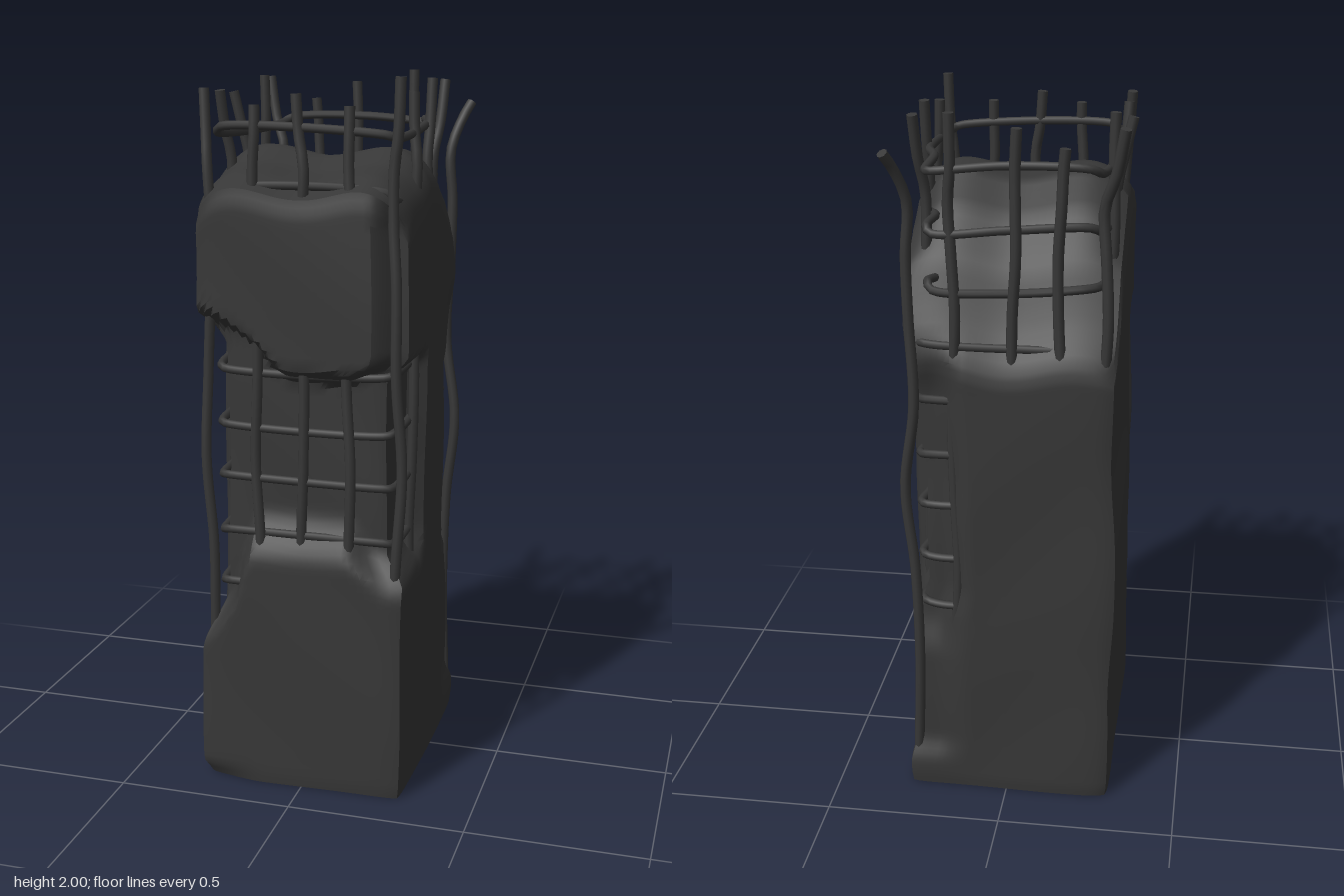
import * as THREE from 'three';
import { mergeVertices, toCreasedNormals } from 'three/addons/utils/BufferGeometryUtils.js';

const material = new THREE.MeshStandardMaterial({ color: 0x373737 });
const V = (x, y, z) => new THREE.Vector3(x, y, z);
const step = THREE.MathUtils.smoothstep;
// 1 between a and b, fading out over the given widths
const band = (t, a, b, fa = 0.06, fb = fa) => step(t, a - fa, a) * (1 - step(t, b, b + fb));

// Broken top: height along z, highest just in front of the middle
const profile = [[-0.36, 1.29], [-0.27, 1.43], [-0.2, 1.58], [-0.1, 1.7], [0, 1.78], [0.1, 1.79], [0.2, 1.75], [0.3, 1.73], [0.39, 1.69]];
function topHeight(x, z) {
  let i = 0;
  while (i < profile.length - 2 && z > profile[i + 1][0]) i++;
  const [z0, y0] = profile[i], [z1, y1] = profile[i + 1];
  const y = y0 + (y1 - y0) * THREE.MathUtils.clamp((z - z0) / (z1 - z0), 0, 1);
  const edge = (x > 0 ? 0.1 : 0.05) * Math.pow(Math.abs(x) / 0.3, 6) * step(z, -0.3, 0);
  return y - edge - 0.015 * Math.cos(x * 16);
}

// Concrete block, dented where it has crumbled off the bars
function concrete() {
  let g = new THREE.BoxGeometry(0.595, 1, 0.725, 32, 84, 36);
  g.deleteAttribute('normal');
  g.deleteAttribute('uv');
  g = mergeVertices(g, 1e-4);
  const p = g.attributes.position;
  for (let i = 0; i < p.count; i++) {
    let x = p.getX(i) - 0.005, z = p.getZ(i) + 0.02;
    const f = p.getY(i) + 0.5;
    const y = f * topHeight(x, z);
    const x0 = x, z0 = z;

    // wide shallow dent in the front, its upper lip rising to one side
    const lip = 1.17 + 0.05 * step(x0, 0.16, 0.27) + 0.15 * step(-x0, 0.04, 0.28);
    const low = 0.82 - 0.08 * step(x0, 0.15, 0.25) - 0.26 * step(-x0, 0.18, 0.29);
    const dent = 0.065 * band(y, low, lip, 0.16, 0.06);
    // front edge flaked off up to the top
    const flake = 0.06 * step(x0, 0.2, 0.26) * band(y, 0.76, 1.6, 0.12);
    if (z0 > 0) z -= (z0 / 0.38) * Math.max(dent, flake);
    // front corners
    if (x0 > 0) x -= 0.06 * (x0 / 0.29) * step(z0, 0.11, 0.17) * band(y, 0.72, 1.19, 0.1, 0.08);
    else x += 0.07 * (-x0 / 0.3) * step(z0, 0.13, 0.22) * band(y, 0.58, 1.26, 0.2, 0.12);
    // back corner, split nearly full height
    if (x0 > 0 && z0 < 0) {
      const tall = band(y, 0.16, 1.28, 0.1, 0.15);
      const wide = 0.35 + 0.65 * band(y, 0.66, 0.95, 0.12, 0.25);
      z += 0.065 * tall * (0.5 + 0.5 * band(y, 0.56, 1.2, 0.15)) * step(x0, 0.12, 0.23) * (-z0 / 0.34);
      x -= 0.06 * tall * wide * step(-z0, 0.15, 0.25) * (x0 / 0.29);
    }
    // swelling of the far side
    if (x0 < 0) x -= 0.012 * (-x0 / 0.3) * band(y, 0.6, 0.8, 0.3) * (1 - step(z0, 0.1, 0.2));
    // worn arrises, uneven faces and a chipped foot
    const corner = Math.pow(Math.abs(x0 / 0.3), 10) * Math.pow(Math.abs((z0 - 0.02) / 0.36), 10);
    const chip = 0.05 * (1 - step(y, 0, 0.05)) * step(-x0, 0.1, 0.28) * step(z0, 0.1, 0.35);
    const worn = 1 - 0.025 * corner - 0.01 * (1 - step(y, 0, 0.03)) - chip - 0.025 * step(f, 0.97, 1);
    const bump = 0.005 * Math.sin(y * 7 + x0 * 9) * Math.cos(z0 * 8 - y * 4);
    x = x * worn + bump * Math.sign(x0);
    z = (z - 0.02) * worn + 0.02 + bump * Math.sign(z0) * 0.8;
    p.setXYZ(i, x, y, z);
  }
  return toCreasedNormals(g, 0.6);
}

function rod(name, points, radius, segments, closed = false) {
  const curve = new THREE.CatmullRomCurve3(points, closed, 'centripetal');
  const mesh = new THREE.Mesh(new THREE.TubeGeometry(curve, segments, radius, 8, closed), material);
  mesh.name = name;
  if (!closed) {
    // flat end caps
    for (const t of [0, 1]) {
      const cap = new THREE.Mesh(new THREE.CircleGeometry(radius, 8), material);
      cap.name = 'barEnd';
      cap.position.copy(curve.getPoint(t));
      cap.quaternion.setFromUnitVectors(V(0, 0, 1), curve.getTangent(t).multiplyScalar(t ? 1 : -1));
      mesh.add(cap);
    }
  }
  return mesh;
}

// Upright bars: foot x, z, then tip x, y, z, and sideways bow at mid height
const bars = [
  [-0.265, 0.335, -0.28, 1.96, 0.31, -0.025], [-0.13, 0.345, -0.13, 1.92, 0.34, 0], [0, 0.345, -0.015, 1.95, 0.34, 0],
  [0.13, 0.345, 0.13, 1.92, 0.34, 0], [0.255, 0.34, 0.265, 1.995, 0.34, 0.03],
  [-0.265, 0.16, -0.28, 1.95, 0.19, 0], [-0.265, 0, -0.305, 1.94, 0.01, 0], [-0.265, -0.16, -0.27, 1.98, -0.16, 0],
  [0.26, 0.155, 0.255, 1.95, 0.15, 0], [0.255, -0.02, 0.26, 1.98, -0.045, 0], [0.245, -0.16, 0.26, 1.97, -0.21, 0],
  [-0.265, -0.305, -0.31, 1.97, -0.34, 0], [-0.145, -0.305, -0.155, 1.91, -0.305, 0],
  [-0.02, -0.305, -0.03, 1.96, -0.31, 0], [0.145, -0.305, 0.145, 1.995, -0.31, 0],
  [0.26, -0.31, 0.305, 1.9, -0.375, 0.02],
];

export function createModel() {
  const model = new THREE.Group();
  const block = new THREE.Mesh(concrete(), material);
  block.name = 'concretePillar';
  model.add(block);

  const uprights = new THREE.Group();
  uprights.name = 'uprightBars';
  bars.forEach(([x, z, tx, ty, tz, bow], i) => {
    const points = [];
    for (const y of [0.1, 0.4, 0.7, 0.95, 1.2, 1.45, 1.62, 1.76]) {
      const w = 0.008 * Math.sin(y * 9 + i * 2.1);
      points.push(V(x + w + bow * band(y, 0.9, 1, 0.25), y, z + w * 0.5));
    }
    points.push(V((x + tx) / 2, 1.85, (z + tz) / 2), V(tx, ty, tz));
    uprights.add(rod('uprightBar', points, 0.015, 48));
  });
  model.add(uprights);

  // Bent ties wrapped inside the uprights
  const ties = new THREE.Group();
  ties.name = 'ties';
  const outline = [[-0.23, 0.325], [0.23, 0.325], [0.245, 0.31], [0.24, -0.08], [0.205, -0.2], [0.215, -0.28],
    [0.2, -0.3], [0, -0.295], [-0.22, -0.28], [-0.245, -0.25], [-0.245, 0.31]];
  [0.59, 0.74, 0.9, 1.05, 1.21, 1.37, 1.53, 1.69, 1.85].forEach((y, k) => {
    const bent = k < 6 ? 0.03 : 0;
    const points = outline.map(([x, z], i) => V(
      x + (x > 0.2 && z < -0.1 ? bent : 0), y + 0.012 * Math.sin(i * 1.7 + k) * (k > 5 ? 1 : 0.3), z));
    ties.add(rod('tie', points, 0.012, 120, true));
  });
  model.add(ties);
  return model;
}
